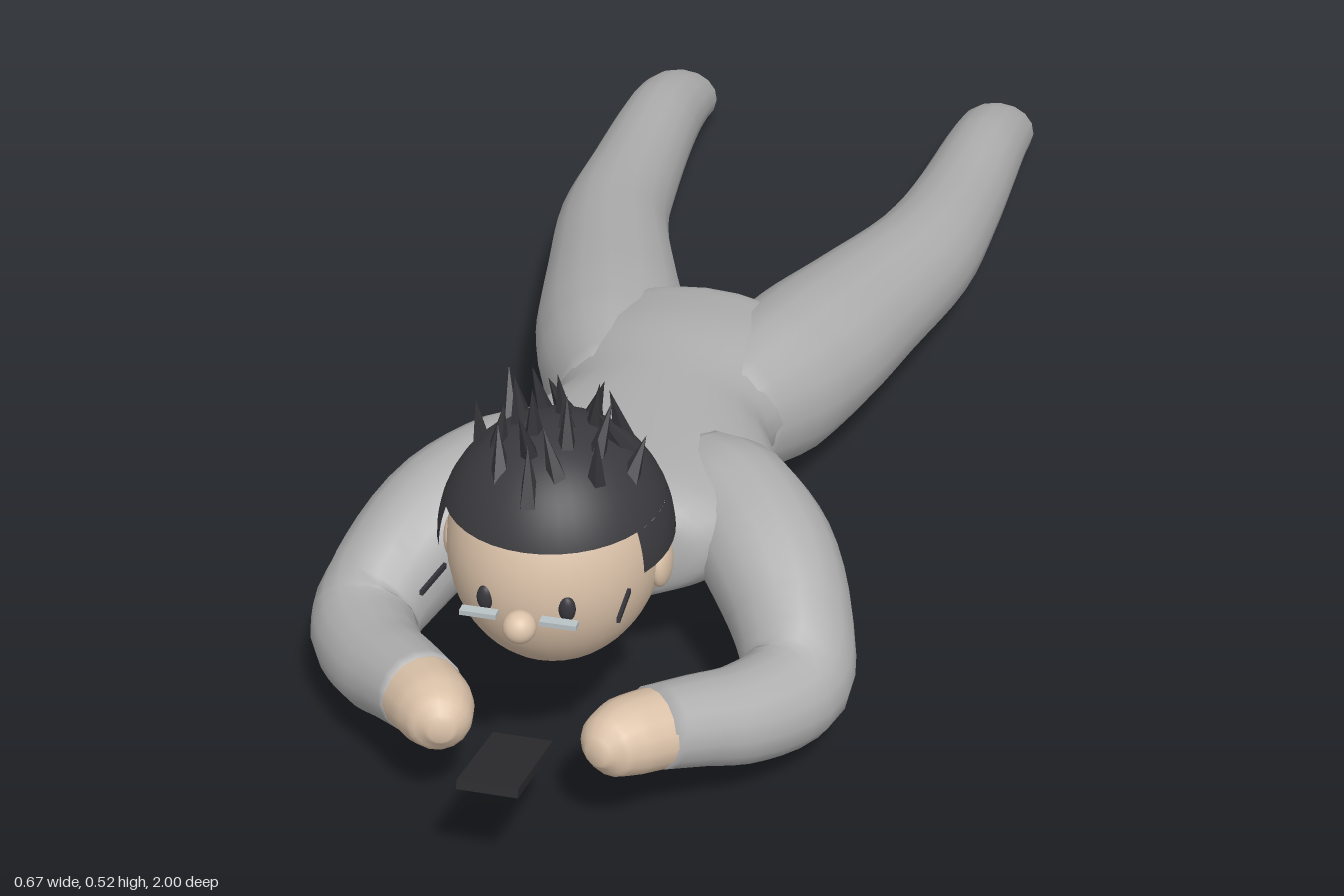
import * as THREE from 'three';

const mat = (name, color, side = THREE.FrontSide) => {
  const m = new THREE.MeshStandardMaterial({ color, side });
  m.name = name;
  return m;
};

// Smooth skin over sections [x, y, z, halfWidth, halfHeight], closed at both ends
function loft(sections, sides = 16, steps = 4) {
  const path = new THREE.CatmullRomCurve3(sections.map(s => new THREE.Vector3(s[0], s[1], s[2])));
  const size = new THREE.CatmullRomCurve3(sections.map(s => new THREE.Vector3(s[3], s[4], 0)));
  const n = (sections.length - 1) * steps;
  const up = new THREE.Vector3(0, 1, 0);
  const pos = [], idx = [];
  for (let i = 0; i <= n; i++) {
    const c = path.getPoint(i / n), r = size.getPoint(i / n), t = path.getTangent(i / n);
    const side = up.clone().cross(t).normalize();
    const top = t.clone().cross(side);
    for (let j = 0; j < sides; j++) {
      const a = (j / sides) * Math.PI * 2;
      const p = c.clone().addScaledVector(side, Math.cos(a) * r.x).addScaledVector(top, Math.sin(a) * r.y);
      pos.push(p.x, p.y, p.z);
      if (i < n) {
        const k = (j + 1) % sides, b = i * sides;
        idx.push(b + j, b + k, b + sides + j, b + k, b + sides + k, b + sides + j);
      }
    }
  }
  const first = pos.length / 3;
  const a = path.getPoint(0), z = path.getPoint(1);
  pos.push(a.x, a.y, a.z, z.x, z.y, z.z);
  for (let j = 0; j < sides; j++) {
    const k = (j + 1) % sides, b = n * sides;
    idx.push(first, k, j, first + 1, b + j, b + k);
  }
  const g = new THREE.BufferGeometry();
  g.setAttribute('position', new THREE.Float32BufferAttribute(pos, 3));
  g.setIndex(idx);
  g.computeVertexNormals();
  return g;
}

export function createModel() {
  const model = new THREE.Group();
  const suit = mat('grey suit', 0xb0b0b0);
  const skin = mat('skin', 0xdcc3aa);
  const hair = mat('dark hair', 0x3a3a3e, THREE.DoubleSide);
  const spikeHair = mat('hair spikes', 0x343438);
  spikeHair.flatShading = true;
  const pink = mat('pink collar', 0xd98ca6, THREE.DoubleSide);
  const dark = mat('phone black', 0x2b2b2e);
  const eyeMat = mat('eye', 0x35353b);
  const silver = mat('silver lens', 0xb9c2c6);

  const add = (name, geo, material, x = 0, y = 0, z = 0, parent = model) => {
    const m = new THREE.Mesh(geo, material);
    m.name = name;
    m.position.set(x, y, z);
    parent.add(m);
    return m;
  };
  const ball = (name, material, x, y, z, rx, ry, rz, parent) =>
    add(name, new THREE.SphereGeometry(1, 32, 24), material, x, y, z, parent).scale.set(rx, ry, rz);

  // Torso, lying face down
  add('torso', loft([
    [0, 0.205, 0.565, 0.06, 0.05], [0, 0.205, 0.545, 0.13, 0.075], [0, 0.205, 0.5, 0.18, 0.085],
    [0, 0.198, 0.4, 0.205, 0.085], [0, 0.187, 0.3, 0.17, 0.09], [0, 0.178, 0.22, 0.143, 0.095],
    [0, 0.163, 0.1, 0.18, 0.105], [0, 0.149, 0, 0.19, 0.1], [0, 0.145, -0.05, 0.13, 0.08],
    [0, 0.145, -0.08, 0.06, 0.035],
  ], 24), suit);

  // Limbs
  const legPath = [
    [0.07, 0.172, 0.2, 0.065, 0.08], [0.11, 0.152, 0.05, 0.1, 0.103], [0.137, 0.145, -0.05, 0.105, 0.1],
    [0.178, 0.132, -0.2, 0.095, 0.09], [0.228, 0.111, -0.4, 0.081, 0.081], [0.247, 0.093, -0.6, 0.07, 0.072],
    [0.257, 0.081, -0.8, 0.062, 0.064], [0.259, 0.066, -0.9, 0.059, 0.053], [0.26, 0.046, -0.965, 0.056, 0.044],
    [0.26, 0.039, -0.99, 0.046, 0.031], [0.26, 0.038, -0.999, 0.025, 0.012],
  ];
  const armPath = [
    [0.08, 0.21, 0.37, 0.06, 0.06], [0.14, 0.206, 0.42, 0.083, 0.078], [0.2, 0.188, 0.49, 0.083, 0.08],
    [0.25, 0.14, 0.57, 0.073, 0.077], [0.266, 0.11, 0.635, 0.066, 0.065], [0.225, 0.115, 0.71, 0.06, 0.059],
    [0.178, 0.132, 0.76, 0.055, 0.053], [0.135, 0.147, 0.805, 0.05, 0.048],
  ];
  const handPath = [
    [0.145, 0.144, 0.795, 0.05, 0.047], [0.113, 0.153, 0.835, 0.047, 0.045],
    [0.097, 0.157, 0.864, 0.036, 0.036], [0.09, 0.158, 0.882, 0.014, 0.014],
  ];
  for (const s of [1, -1]) {
    const label = s > 0 ? 'left' : 'right';
    const mirrored = p => p.map(([x, ...rest]) => [x * s, ...rest]);
    add(label + 'Leg', loft(mirrored(legPath)), suit);
    add(label + 'Arm', loft(mirrored(armPath)), suit);
    add(label + 'Hand', loft(mirrored(handPath)), skin);
  }

  // Neck and collar
  const neck = new THREE.Group();
  neck.name = 'neck';
  neck.position.set(0, 0.222, 0.572);
  neck.rotation.x = -0.35;
  model.add(neck);
  add('neckSkin', new THREE.CylinderGeometry(0.06, 0.065, 0.1, 24).rotateX(Math.PI / 2), skin, 0, 0, 0.03, neck);
  add('collar', new THREE.CylinderGeometry(0.073, 0.08, 0.025, 32, 1, true).rotateX(Math.PI / 2), pink, 0, 0, 0, neck);
  add('collarRim', new THREE.TorusGeometry(0.075, 0.006, 8, 32), pink, 0, 0, 0.012, neck);

  // Head and face
  const head = new THREE.Group();
  head.name = 'head';
  model.add(head);
  ball('skull', skin, 0, 0.325, 0.708, 0.124, 0.146, 0.137, head);
  ball('nose', skin, 0, 0.304, 0.861, 0.019, 0.019, 0.019, head);
  for (const s of [1, -1]) {
    ball('ear', skin, s * 0.122, 0.305, 0.703, 0.013, 0.031, 0.025, head);
    ball('eye', eyeMat, s * 0.047, 0.317, 0.833, 0.01, 0.016, 0.008, head);
    add('glassesLens', new THREE.BoxGeometry(0.042, 0.006, 0.012), silver, s * 0.046, 0.317, 0.862, head);
    const temple = add('glassesTemple', new THREE.BoxGeometry(0.004, 0.006, 0.07), eyeMat, s * 0.11, 0.326, 0.825, head);
    temple.rotation.set(-0.12, s * 0.08, 0);
  }

  // Hair cap with a lower hem around the sides and back
  const cap = new THREE.SphereGeometry(1, 40, 16, 0, Math.PI * 2, 0, 1.182);
  const back = new THREE.SphereGeometry(1, 32, 6, Math.PI - 0.49, Math.PI + 0.98, 1.182, 0.355);
  for (const [name, geo] of [['hairCap', cap], ['hairBack', back]])
    add(name, geo, hair, 0, 0.33, 0.706, head).scale.set(0.136, 0.145, 0.139);

  // Tousled spikes on the crown
  let seed = 7;
  const rnd = () => (seed = (seed * 16807) % 2147483647) / 2147483647;
  const spikes = 22;
  for (let i = 0; i < spikes; i++) {
    const r = 0.095 * Math.sqrt((i + 0.5) / spikes), a = i * 2.4;
    const x = r * Math.cos(a), z = r * Math.sin(a);
    const y = 0.33 + 0.145 * Math.sqrt(1 - (r / 0.137) ** 2);
    const len = 0.055 + rnd() * 0.025;
    const spike = add('hairSpike', new THREE.ConeGeometry(0.014, len, 5).translate(0, len * 0.3, 0),
      spikeHair, x, y - 0.005, 0.706 + z, head);
    spike.rotation.set((rnd() - 0.5) * 0.8, rnd() * 6, -0.2 + (rnd() - 0.5) * 0.6);
  }

  // Phone held between the hands
  add('phone', new THREE.BoxGeometry(0.07, 0.011, 0.14), dark, 0, 0.166, 0.931).rotation.x = -0.26;

  return model;
}
